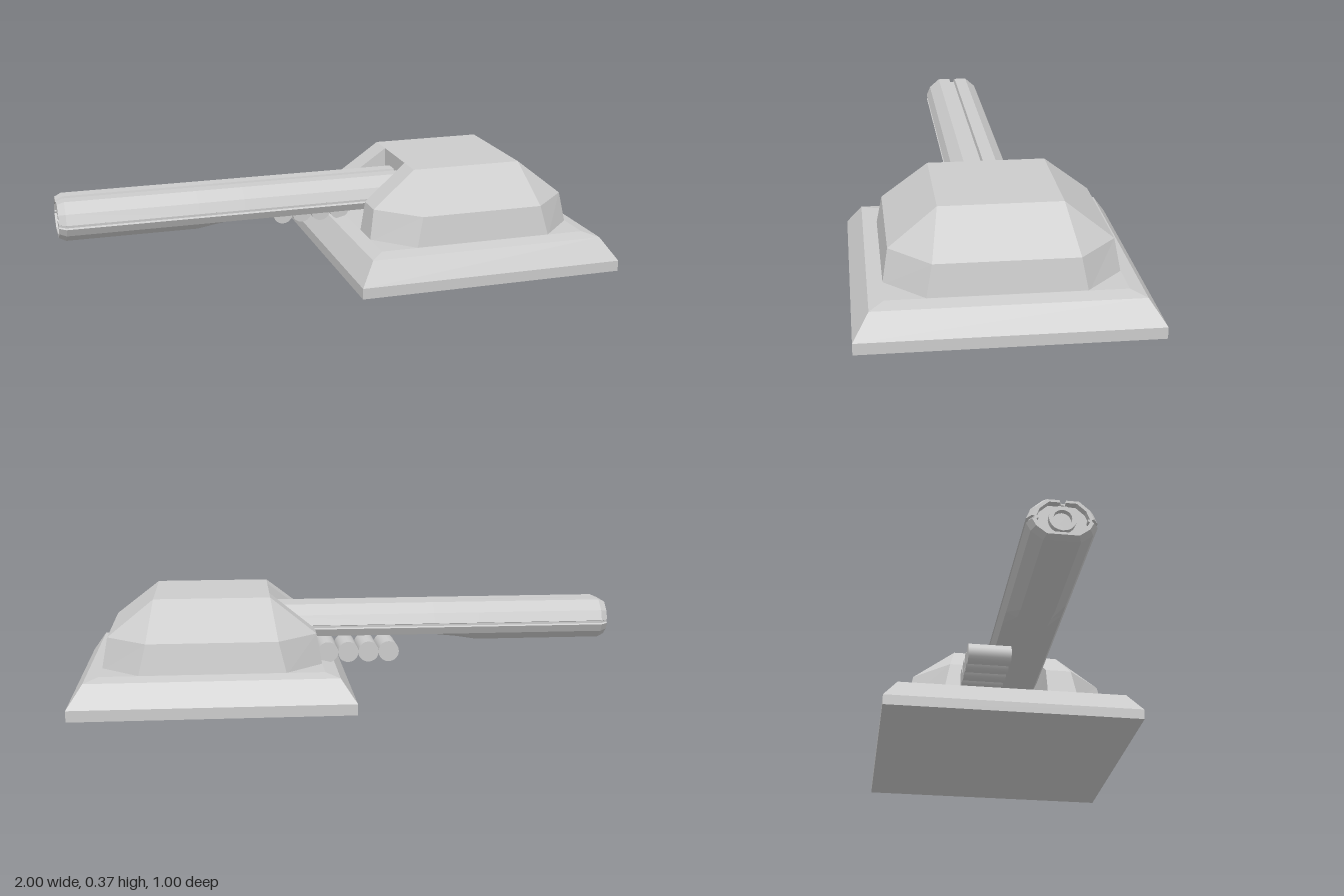
import * as THREE from 'three';

const flat = new THREE.MeshStandardMaterial({ color: 0xcccccc, flatShading: true, side: THREE.DoubleSide });
const smooth = new THREE.MeshStandardMaterial({ color: 0xcccccc });

function add(parent, name, geometry, material) {
  const mesh = new THREE.Mesh(geometry, material);
  mesh.name = name;
  parent.add(mesh);
  return mesh;
}

// Joins rings of [x, y, z] points (counter-clockwise about the loft direction) and caps both ends.
function loft(rings) {
  const pos = [];
  const tri = (a, b, c) => pos.push(...a, ...b, ...c);
  const n = rings[0].length;
  for (let r = 0; r < rings.length - 1; r++) {
    for (let i = 0; i < n; i++) {
      const j = (i + 1) % n;
      tri(rings[r][i], rings[r][j], rings[r + 1][j]);
      tri(rings[r][i], rings[r + 1][j], rings[r + 1][i]);
    }
  }
  const cap = (ring, flip) => {
    const shape = ring.map((p) => p);
    const mid = [0, 1, 2].map((k) => {
      const v = shape.map((p) => p[k]);
      return (Math.min(...v) + Math.max(...v)) / 2;
    });
    for (let i = 0; i < n; i++) {
      const a = ring[i], b = ring[(i + 1) % n];
      flip ? tri(mid, b, a) : tri(mid, a, b);
    }
  };
  cap(rings[0], true);
  cap(rings[rings.length - 1], false);
  const g = new THREE.BufferGeometry();
  g.setAttribute('position', new THREE.Float32BufferAttribute(pos, 3));
  g.computeVertexNormals();
  return g;
}

// Square ring of the plinth
const square = (h, y) => [[0.5 + h, y, h], [0.5 + h, y, -h], [0.5 - h, y, -h], [0.5 - h, y, h]];

// Eight-sided housing ring with a slot for the gun in its -x side
function housingRing(y, x0, x1, xa, xb, zw, cz, slot) {
  return [
    [x1, cz], [x1, -cz], [xb, -zw], [xa, -zw], [x0, -cz], [x0, -slot],
    [0.29, -0.11], [0.29, 0.11], [x0, slot], [x0, cz], [xa, zw], [xb, zw],
  ].map(([x, z]) => [x, y, z]);
}

// Half of the barrel section, [z, y] from top to bottom, with top and side grooves
const half = [
  [0.008, 0.3], [0.012, 0.315], [0.06, 0.315], [0.1, 0.28], [0.115, 0.243],
  [0.106, 0.24], [0.106, 0.232], [0.115, 0.228], [0.1, 0.2], [0.06, 0.17],
];
function barrelRing(x, bottom, scale = 1) {
  const pts = [...half.map(([z, y]) => [-z, y]), ...half.slice().reverse()];
  return pts.map(([z, y]) => [x, 0.243 + (Math.max(y, bottom) - 0.243) * scale, 0.005 + z * scale]);
}

export function createModel() {
  const model = new THREE.Group();
  model.name = 'gunTurret';

  // Plinth
  add(model, 'plinth', loft([
    square(0.5, 0), square(0.5, 0.04), square(0.445, 0.12), square(0.395, 0.132),
  ]), flat);

  // Faceted housing
  add(model, 'housing', loft([
    housingRing(0.125, 0.105, 0.895, 0.24, 0.76, 0.395, 0.262, 0.145),
    housingRing(0.24, 0.125, 0.875, 0.268, 0.732, 0.375, 0.24, 0.14),
    housingRing(0.37, 0.29, 0.71, 0.29, 0.71, 0.21, 0.21, 0.11),
  ]), flat);

  // Barrel shroud: deeper toward the muzzle, bevelled rim, recessed end
  const gun = new THREE.Group();
  gun.name = 'gun';
  model.add(gun);
  add(gun, 'barrelShroud', loft([
    barrelRing(0.3, 0.197), barrelRing(-0.33, 0.197), barrelRing(-0.42, 0.183), barrelRing(-0.5, 0.17),
    barrelRing(-0.975, 0.17), barrelRing(-1, 0.17, 0.86), barrelRing(-1, 0.17, 0.74), barrelRing(-0.975, 0.17, 0.74),
  ]), flat);

  // Muzzle tube
  const rim = [[0.03, 0], [0.045, 0], [0.045, 0.03], [0.03, 0.03], [0.03, 0]].map(([r, y]) => new THREE.Vector2(r, y));
  const muzzle = add(gun, 'muzzle', new THREE.LatheGeometry(rim, 20), flat);
  muzzle.rotation.z = Math.PI / 2;
  muzzle.position.set(-0.965, 0.243, 0.005);

  // Row of canisters under the barrel
  for (let i = 0; i < 4; i++) {
    const can = add(gun, 'canister' + (i + 1), new THREE.CylinderGeometry(0.038, 0.038, 0.16, 20), smooth);
    can.rotation.x = Math.PI / 2;
    can.position.set(-0.145 + i * 0.075, 0.16, -0.12);
  }
  return model;
}
